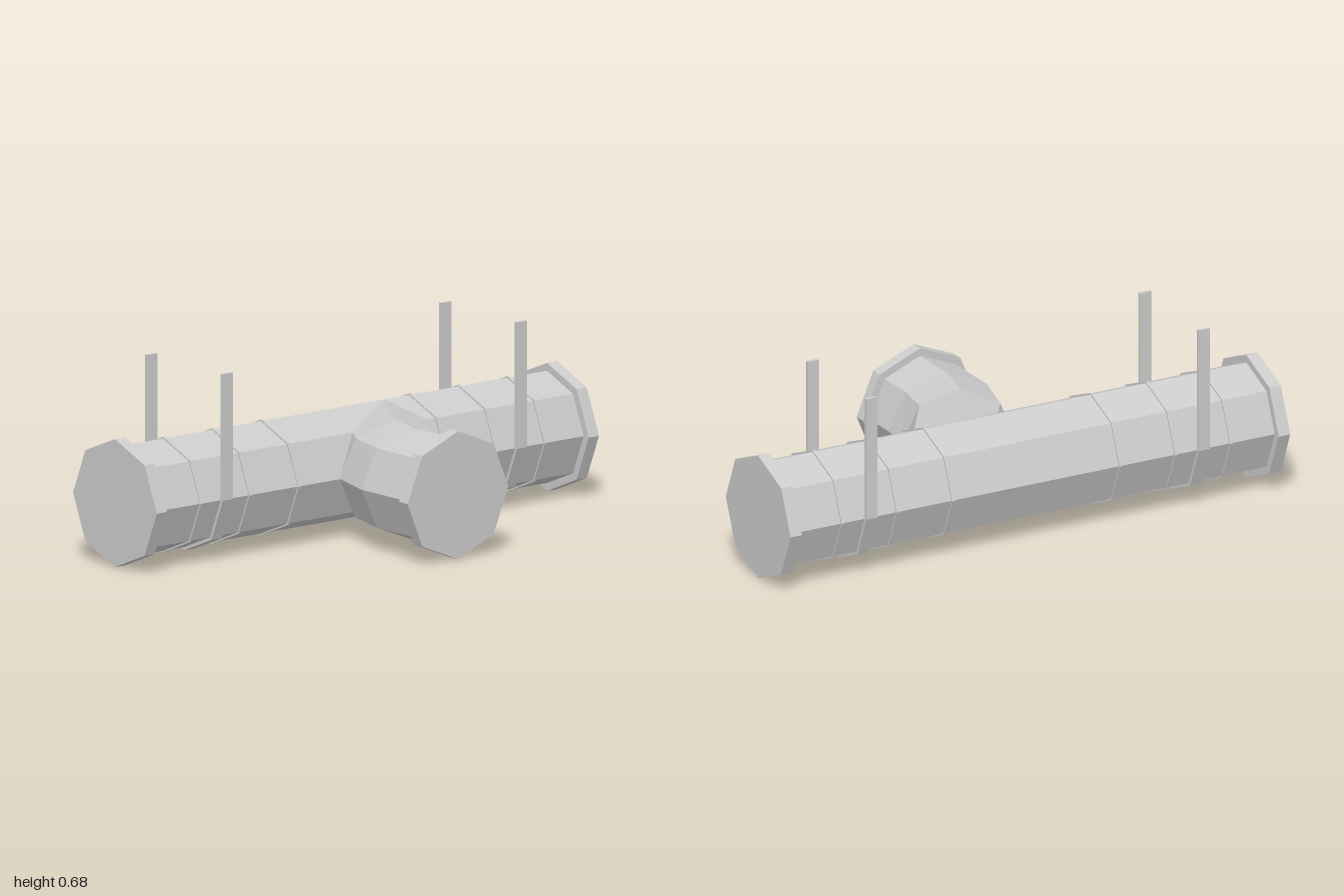
import * as THREE from 'three';

const SIDES = 8, R = 0.2, FLANGE_R = 0.228, AXIS_Y = 0.23, AXIS_Z = -0.218;
const material = new THREE.MeshStandardMaterial({ color: 0xcccccc, flatShading: true });

export function createModel() {
  const model = new THREE.Group();

  const add = (name, geometry, x = 0, y = 0, z = 0) => {
    const mesh = new THREE.Mesh(geometry, material);
    mesh.name = name;
    mesh.position.set(x, y, z);
    model.add(mesh);
  };
  // Octagonal drum lying along x, with a corner pointing up
  const drum = (radius, length) =>
    new THREE.CylinderGeometry(radius, radius, length, SIDES).rotateZ(Math.PI / 2);

  // Straight main pipe
  add('mainPipe', drum(R, 1.92), 0, AXIS_Y, AXIS_Z);

  for (const side of [-1, 1]) {
    const prefix = side > 0 ? 'left' : 'right';
    // End flange and joint bands
    add(prefix + 'Flange', drum(FLANGE_R, 0.046), side * 0.977, AXIS_Y, AXIS_Z);
    for (const x of [0.335, 0.557, 0.778])
      add(prefix + 'JointBand', drum(R + 0.006, 0.01), side * x, AXIS_Y, AXIS_Z);
    add(prefix + 'Hanger', hangerGeometry(0.045), side * 0.665, AXIS_Y, AXIS_Z);
  }

  // Curved branch joining the main pipe, with its own flange
  add('branchPipe', branchGeometry(), 0, AXIS_Y, 0);
  add('branchFlange', drum(FLANGE_R, 0.046).rotateY(Math.PI / 2), 0, AXIS_Y, 0.423);

  return model;
}

// U-shaped strap: cradles the lower half of the pipe and rises on both sides
function hangerGeometry(width) {
  const top = 0.45, outer = R + 0.012, inner = R - 0.001;
  const arc = (r) => Array.from({ length: 5 }, (_, i) => {
    const a = Math.PI + (i * Math.PI) / 4;
    return new THREE.Vector2(r * Math.cos(a), r * Math.sin(a));
  });
  const shape = new THREE.Shape([
    new THREE.Vector2(-outer, top), ...arc(outer), new THREE.Vector2(outer, top),
    new THREE.Vector2(inner, top), ...arc(inner).reverse(), new THREE.Vector2(-inner, top),
  ]);
  return new THREE.ExtrudeGeometry(shape, { depth: width, bevelEnabled: false })
    .translate(0, 0, -width / 2)
    .rotateY(Math.PI / 2);
}

// Octagonal cross-sections swept around the bend: centre (x, z) and sideways axis (x, z)
function branchGeometry() {
  const sections = [
    [0, 0.41, 0.2, 0],
    [0, 0.215, 0.2, 0.055],
    [0.035, 0.06, 0.18, 0.085],
    [0.22, -0.22, 0.17, 0.106],
  ];
  const positions = [], index = [];
  sections.forEach(([cx, cz, sx, sz], s) => {
    for (let i = 0; i < SIDES; i++) {
      const a = (i * 2 * Math.PI) / SIDES, c = Math.cos(a);
      positions.push(cx + sx * c, R * Math.sin(a), cz + sz * c);
      if (s === sections.length - 1) continue;
      const p = s * SIDES + i, q = s * SIDES + ((i + 1) % SIDES);
      index.push(p, p + SIDES, q, q, p + SIDES, q + SIDES);
    }
  });
  const geometry = new THREE.BufferGeometry();
  geometry.setAttribute('position', new THREE.Float32BufferAttribute(positions, 3));
  geometry.setIndex(index);
  const flat = geometry.toNonIndexed();
  flat.computeVertexNormals();
  return flat;
}
